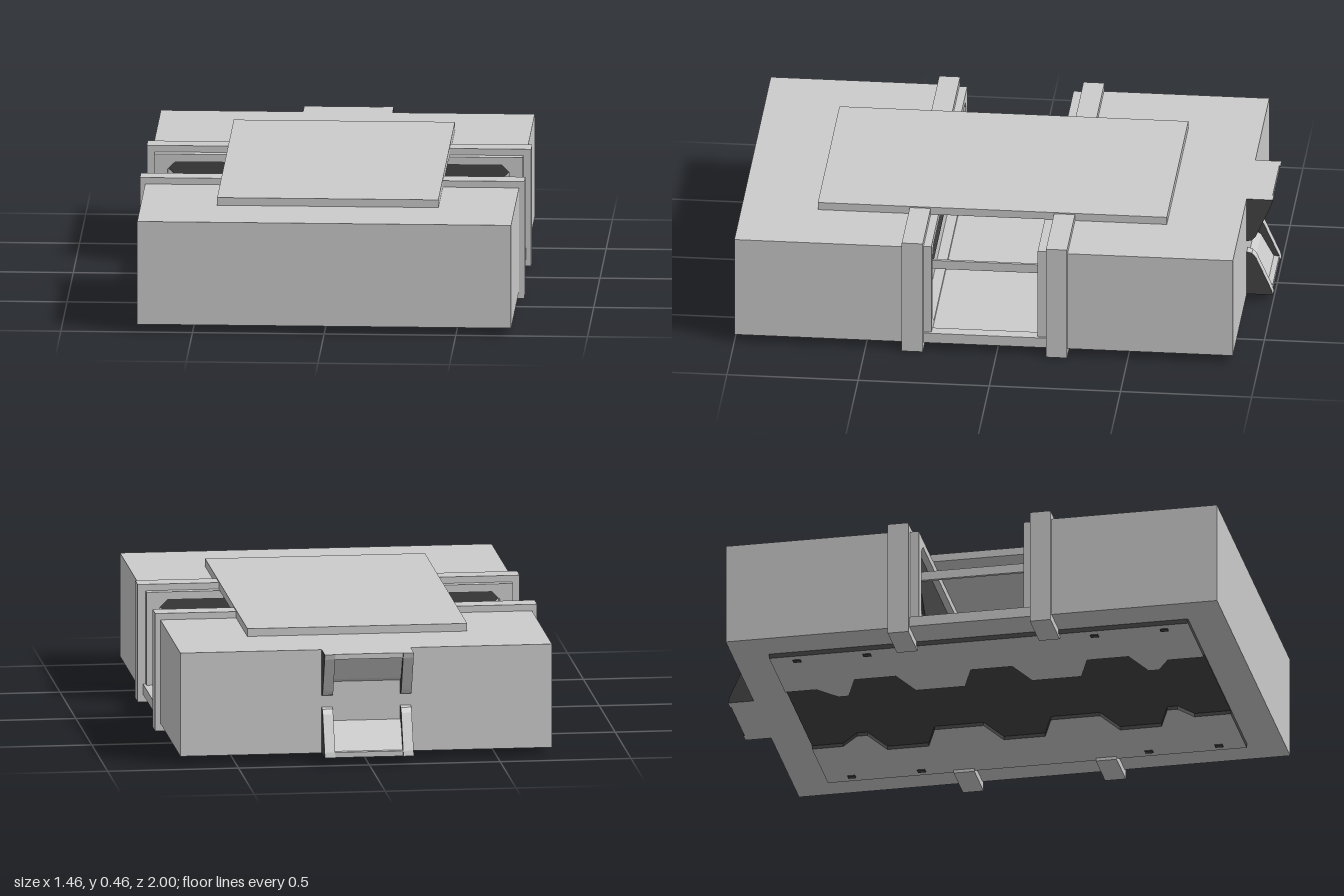
import * as THREE from 'three';

const light = new THREE.MeshStandardMaterial({ color: 0xcccccc, flatShading: true });
const dark = new THREE.MeshStandardMaterial({ color: 0x444444, flatShading: true });

export function createModel() {
  const root = new THREE.Group();
  const add = (name, geo, mat = light) => {
    const m = new THREE.Mesh(geo, mat);
    m.name = name;
    root.add(m);
    return m;
  };
  // box given by its limits
  const box = (name, x0, x1, y0, y1, z0, z1, mat) =>
    add(name, new THREE.BoxGeometry(x1 - x0, y1 - y0, z1 - z0), mat)
      .position.set((x0 + x1) / 2, (y0 + y1) / 2, (z0 + z1) / 2);
  const extrude = (pts, depth) => new THREE.ExtrudeGeometry(
    new THREE.Shape(pts.map(p => new THREE.Vector2(p[0], p[1]))), { depth, bevelEnabled: false });

  // hull: front and rear blocks joined by the passage floor and the roof plate
  box('frontBlock', -0.71, 0.71, 0.03, 0.43, 0.29, 1);
  box('rearBlock', -0.71, 0.71, 0.03, 0.43, -0.9, -0.19);
  box('passageFloor', -0.71, 0.71, 0.03, 0.06, -0.19, 0.29);
  box('roofPlate', -0.42, 0.42, 0.43, 0.46, -0.62, 0.71);

  for (const s of [1, -1]) {
    const flip = pts => pts.map(([x, y]) => [x * s, y]);
    // outer C-shaped ribs clasping the hull
    const rib = flip([[0.3, 0.455], [0.73, 0.455], [0.73, 0], [0.55, 0], [0.55, 0.04],
      [0.67, 0.06], [0.67, 0.41], [0.3, 0.41]]);
    // inner stepped rim with chamfered corners
    const rim = flip([[0, 0.43], [0.7, 0.43], [0.7, 0.04], [0, 0.04], [0, 0.07], [0.6, 0.07],
      [0.65, 0.11], [0.65, 0.37], [0.62, 0.4], [0, 0.4]]);
    // dark slanted panel set in the passage wall
    const panel = flip([[0, 0.4], [0.62, 0.4], [0.65, 0.37], [0.44, 0.18], [0, 0.18]]);
    for (const [ribZ, rimZ, panelZ] of [[0.28, 0.25, 0.28], [-0.27, -0.19, -0.19]]) {
      add('rib', extrude(rib, 0.08)).position.z = ribZ;
      add('passageRim', extrude(rim, ribZ > 0 ? 0.04 : 0.035)).position.z = rimZ;
      add('wallPanel', extrude(panel, 0.01), dark).position.z = panelZ;
    }
    // rail and sill across the opening
    const rx = 0.575 * s;
    box('sideRail', rx - 0.006, rx + 0.006, 0.28, 0.315, -0.19, 0.29);
    const sx = 0.685 * s;
    box('sill', sx - 0.025, sx + 0.025, 0.03, 0.07, -0.19, 0.29);

    // underside plate with a notched inner edge
    const plate = [[0.57, -0.76], [0.57, 0.86], [0.26, 0.86], [0.26, 0.72]];
    for (const z of [0.5, 0.05, -0.4]) {
      plate.push([0.18, z + 0.17], [0.18, z + 0.13], [0.32, z + 0.08],
        [0.32, z - 0.08], [0.18, z - 0.13], [0.18, z - 0.17]);
    }
    plate.push([0.26, -0.64], [0.26, -0.76]);
    const plateGeo = extrude(flip(plate), 0.018);
    plateGeo.rotateX(Math.PI / 2);
    add('bellyPlate', plateGeo, [light, dark]).position.y = 0.03;
    // small fasteners along the plate edge
    for (const z of [-0.66, -0.39, 0.49, 0.76]) {
      const bx = 0.53 * s;
      box('fastener', bx - 0.01, bx + 0.01, 0.008, 0.014, z - 0.015, z + 0.015, dark);
    }
  }
  box('bellyCentre', -0.33, 0.33, 0.026, 0.032, -0.76, 0.86, dark);

  // rear coupler: two flared jaws, each with dark cheeks and a recessed face
  const jaw = [[-0.89, 0.43], [-1, 0.43], [-0.995, 0.41], [-0.935, 0.275], [-0.92, 0.257], [-0.89, 0.25]];
  const inner = [[-0.89, 0.43], [-0.985, 0.43], [-0.925, 0.32], [-0.89, 0.3]];
  for (const top of [true, false]) {
    const slab = (name, pts, x0, x1, mats) => {
      const g = extrude(pts.map(([z, y]) => [-z, top ? y : 0.46 - y]), x1 - x0);
      g.rotateY(Math.PI / 2); // profile runs along -z, depth along +x
      add(name, g, mats).position.x = x0;
    };
    slab('jawCheek', jaw, -0.17, -0.13, [dark, light]);
    slab('jawCheek', jaw, 0.13, 0.17, [dark, light]);
    slab('jawFace', inner, -0.13, 0.13, light);
    const y = top ? 0.42 : 0.04;
    box('jawLip', -0.13, 0.13, y - 0.01, y + 0.01, -0.995, -0.89);
  }
  return root;
}
